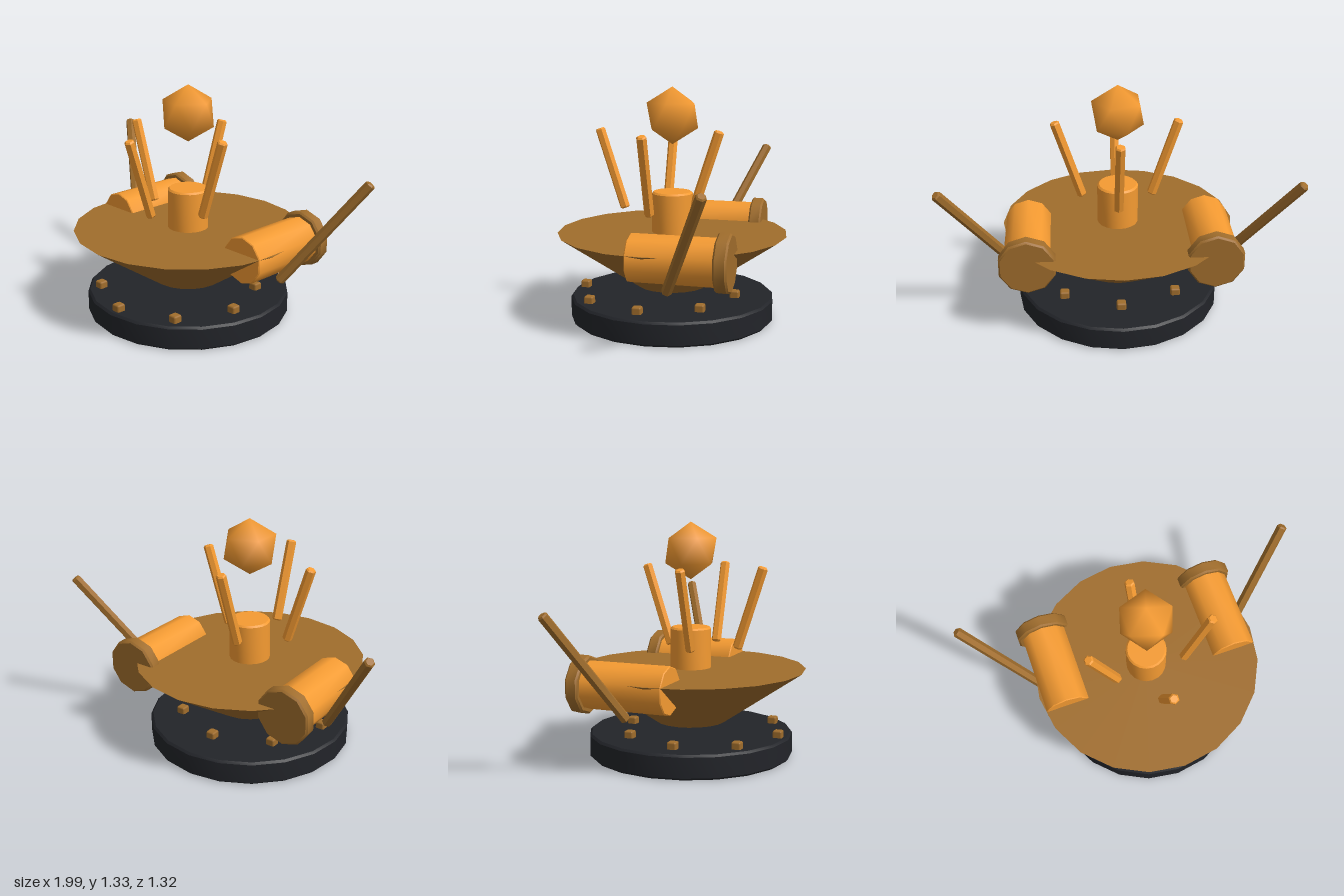
import * as THREE from 'three';
import { mergeVertices, toCreasedNormals } from 'three/addons/utils/BufferGeometryUtils.js';
import { RoundedBoxGeometry } from 'three/addons/geometries/RoundedBoxGeometry.js';

const orange = new THREE.MeshStandardMaterial({ color: 0xf59b32 });
const bronze = new THREE.MeshStandardMaterial({ color: 0xa06d2c });
const dark = new THREE.MeshStandardMaterial({ color: 0x222429 });

// Upright cylinder or cone with chamfered rims, centred on its own middle
function chamferedCylinder(bottom, top, height, sides, bevel) {
  const h = height / 2;
  const profile = [
    [0, -h], [bottom - bevel, -h], [bottom, -h + bevel],
    [top, h - bevel], [top - bevel, h], [0, h],
  ].map(([r, y]) => new THREE.Vector2(r, y));
  return toCreasedNormals(new THREE.LatheGeometry(profile, sides), 0.7);
}

// Rod running between two points
function rodBetween(start, end, radius) {
  const axis = end.clone().sub(start);
  const geometry = chamferedCylinder(radius, radius, axis.length(), 6, 0.008);
  const turn = new THREE.Quaternion().setFromUnitVectors(new THREE.Vector3(0, 1, 0), axis.normalize());
  geometry.applyQuaternion(turn);
  const middle = start.clone().add(end).multiplyScalar(0.5);
  return geometry.translate(middle.x, middle.y, middle.z);
}

export function createModel() {
  const model = new THREE.Group();
  model.name = 'hoverSaucer';

  function add(name, geometry, material, x = 0, y = 0, z = 0) {
    const mesh = new THREE.Mesh(geometry, material);
    mesh.name = name;
    mesh.position.set(x, y, z);
    model.add(mesh);
    return mesh;
  }

  // Ground plate, with the dish floating just above it
  add('basePlate', chamferedCylinder(0.588, 0.588, 0.137, 20, 0.012), dark, 0, 0.0685, 0);
  const dish = toCreasedNormals(new THREE.CylinderGeometry(0.66, 0.2, 0.312, 20), 0.5);
  add('dish', dish, bronze, 0, 0.346, 0);

  // Ring of studs on the plate, centred slightly forward
  const ringZ = 0.08;
  const studGeometry = new RoundedBoxGeometry(0.054, 0.054, 0.054, 1, 0.01);
  for (let i = 0; i < 8; i++) {
    const a = (i * Math.PI) / 4;
    add('stud', studGeometry, bronze, 0.45 * Math.sin(a), 0.15, ringZ + 0.45 * Math.cos(a));
  }

  // Central post and the crystal floating over it
  add('centrePost', chamferedCylinder(0.117, 0.117, 0.26, 20, 0.01), orange, 0, 0.607, 0);
  const crystal = new THREE.IcosahedronGeometry(0.163, 0);
  crystal.deleteAttribute('normal');
  crystal.deleteAttribute('uv');
  crystal.rotateZ(-Math.atan(2 / (1 + Math.sqrt(5)))); // one corner straight up
  const smoothCrystal = mergeVertices(crystal, 1e-4);
  smoothCrystal.computeVertexNormals();
  add('crystal', smoothCrystal, orange, 0, 1.171, 0);

  // Four rods fanning out around the crystal
  for (let i = 0; i < 4; i++) {
    const a = (i * Math.PI) / 2;
    const at = (r, y) => new THREE.Vector3(r * Math.sin(a), y, ringZ + r * Math.cos(a));
    add('crystalRod', rodBetween(at(0.202, 0.628), at(0.352, 1.088), 0.029), orange);
  }

  // Mirrored thruster pods with rear collars and swept outer rods
  const podGeometry = chamferedCylinder(0.134, 0.134, 0.5, 10, 0.005).rotateX(Math.PI / 2);
  const collarGeometry = chamferedCylinder(0.162, 0.162, 0.074, 10, 0.01).rotateX(Math.PI / 2);
  for (const side of [1, -1]) {
    const label = side > 0 ? 'left' : 'right';
    add(label + 'Pod', podGeometry, orange, side * 0.516, 0.464, -0.155);
    add(label + 'PodCollar', collarGeometry, bronze, side * 0.516, 0.464, -0.414);
    const foot = new THREE.Vector3(side * 0.598, 0.308, -0.122);
    const tip = new THREE.Vector3(side * 0.976, 0.895, -0.393);
    add(label + 'OuterRod', rodBetween(foot, tip, 0.029), bronze);
  }

  return model;
}
